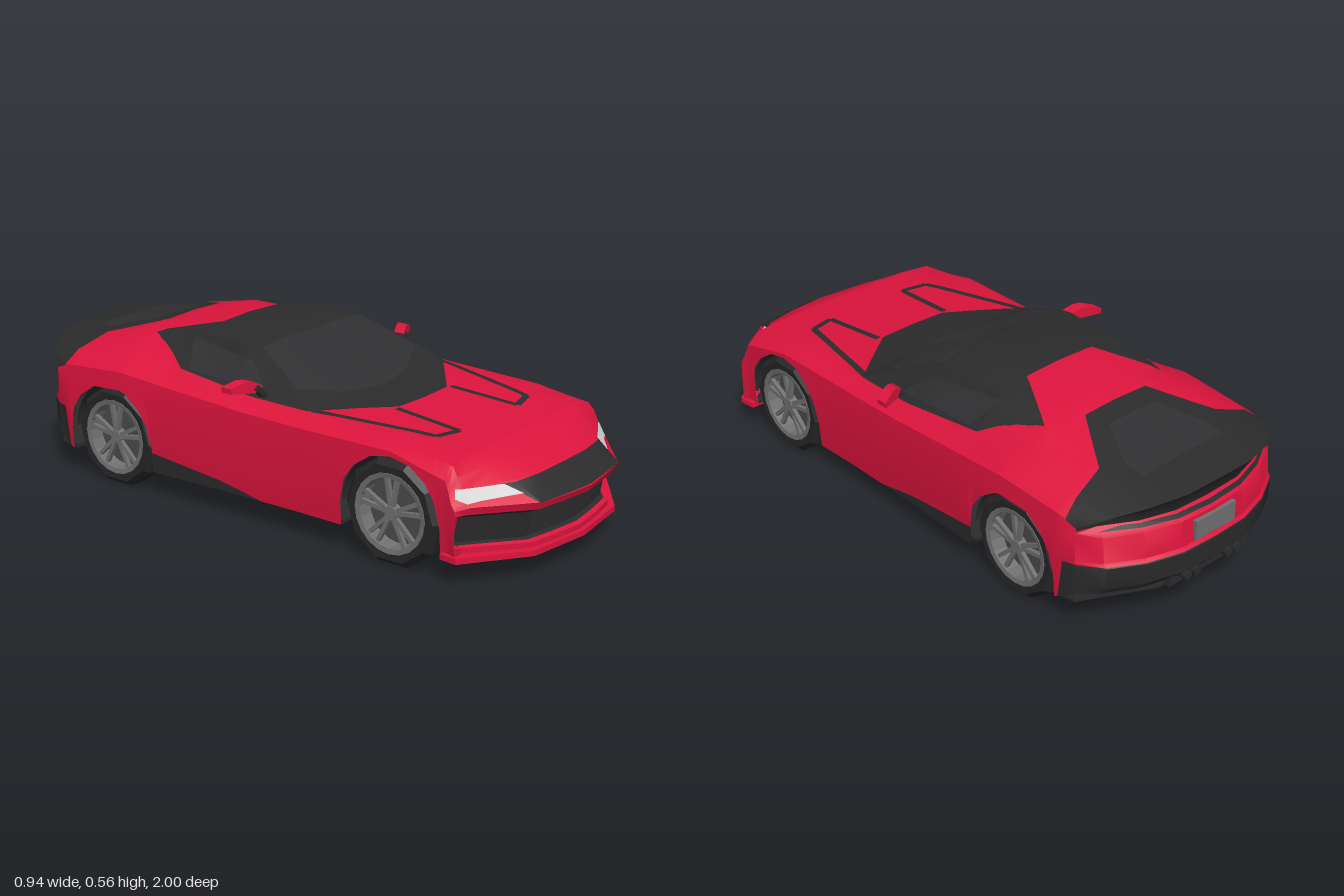
import * as THREE from 'three';
import { toCreasedNormals } from 'three/addons/utils/BufferGeometryUtils.js';

const mat = (name, color, side = THREE.FrontSide) => {
  const m = new THREE.MeshStandardMaterial({ color, side });
  m.name = name;
  return m;
};
const red = mat('red paint', 0xdc143c), black = mat('black trim', 0x2b2b2b, THREE.DoubleSide);
const glass = mat('dark glass', 0x303032), lamp = mat('lamp', 0xd2d2d2), tyreMat = mat('rubber', 0x262626);
const rim = mat('wheel grey', 0x707070), disc = mat('brake grey', 0x4a4a4a, THREE.DoubleSide);

const AXLES = [0.56, -0.57], AXLE_Y = 0.165, ARCH = 0.182;

// half sections, front to back: z, flank x, shoulder x y, belt x y, roof rail x y, centre y
const KEYS = [
  [1, .425, .425, .232, .385, .24, .22, .24, .238],
  [.9, .423, .422, .25, .39, .285, .24, .295, .298],
  [.83, .422, .42, .285, .385, .32, .26, .333, .337],
  [.76, .422, .418, .315, .38, .35, .27, .362, .365],
  [.56, .426, .415, .362, .37, .38, .25, .38, .377],
  [.22, .42, .412, .36, .36, .396, .31, .4, .405],
  [-.04, .424, .414, .365, .352, .41, .265, .522, .541],
  [-.1, .426, .415, .37, .35, .415, .265, .535, .556],
  [-.33, .434, .42, .385, .347, .432, .25, .53, .55],
  [-.52, .44, .427, .4, .362, .452, .23, .508, .528],
  [-.8, .436, .42, .38, .365, .42, .25, .45, .464],
  [-1, .415, .415, .36, .36, .405, .25, .426, .44],
];
const lerpTable = (t, x) => {
  let i = 1;
  while (i < t.length - 1 && x > t[i][0]) i++;
  const [a, b] = [t[i - 1], t[i]];
  return a[1] + (b[1] - a[1]) * (x - a[0]) / (b[0] - a[0]);
};
// plan curvature of nose and tail
const NOSE = [[0, 0], [.12, .015], [.22, .035], [.385, .171], [.425, .2]];
const TAIL = [[0, 0], [.13, .005], [.2, .012], [.36, .1], [.415, .175]];
function bend(x, s) {
  if (s > .76) return s - (s - .76) / .24 * lerpTable(NOSE, x);
  if (s < -.76) return s + (-.76 - s) / .24 * lerpTable(TAIL, x);
  return s;
}

function section(s) {
  let i = 1;
  while (i < KEYS.length - 1 && s < KEYS[i][0]) i++;
  const a = KEYS[i - 1], b = KEYS[i], t = (s - a[0]) / (b[0] - a[0]);
  const [, x1, x2, y2, x3, y3, x4, y4, yc] = a.map((n, k) => n + (b[k] - n) * t);
  const pts = [
    [x1 - .012 * Math.min(1, (1 - Math.abs(s)) * 5), .085 + Math.max(0, -.72 - s) * .16],
    [x1, y2 * .7], [x2, y2], [x3, y3], [x4, y4], [x4 * .53, yc - (yc - y4) * .25], [0, yc],
  ];
  // raise the lower edge over the wheels
  for (const c of AXLES) if (Math.abs(s - c) <= ARCH + 1e-6) {
    const side = pts.slice(0, 3).map(([x, y]) => [y, x]);
    const y0 = AXLE_Y + Math.sqrt(Math.max(0, ARCH ** 2 - (s - c) ** 2));
    const y1 = Math.max(pts[1][1], (y0 + y2) / 2);
    pts[0] = [lerpTable(side, y0), y0];
    pts[1] = [lerpTable(side, y1), y1];
  }
  return pts.map(([x, y]) => [x, y, bend(x, s)]);
}

// painted areas on the half body: material, convex outline, test on face centre
const X = 0, Y = 1, Z = 2, upper = c => c[Y] > .36, hood = c => c[Y] > .33, nose = c => c[Z] > .7;
const TOP_PAINT = [
  [black, [[0, .39], [.13, .385], [.358, .21], [.362, 0], [.347, -.325], [0, -.325]], upper],
  [black, [[.347, -.325], [.25, -.52], [.15, -.345], [.14, -.325]], upper],
  [black, [[0, -.57], [.13, -.57], [.25, -.75], [.25, -1.02], [0, -1.02]], upper],
  [black, [[.25, -.75], [.44, -.79], [.44, -1.02], [.25, -1.02]], upper],
  [glass, [[0, .235], [.17, .2], [.31, .13], [.25, -.065], [0, -.04]], upper],
  [glass, [[0, -.64], [.1, -.64], [.18, -.79], [.17, -.855], [0, -.855]], upper],
];
// hood vent lines as thin strips along a path
const VENT = [[.347, .2], [.25, .61], [.16, .632], [.146, .39]];
VENT.slice(1).forEach(([x, z], i) => {
  const [px, pz] = VENT[i], k = .011 / Math.hypot(x - px, z - pz), nx = (pz - z) * k, nz = (x - px) * k;
  TOP_PAINT.push([black, [[px + nx, pz + nz], [px - nx, pz - nz], [x - nx, z - nz], [x + nx, z + nz]], hood]);
});
const SIDE_PAINT = [
  [glass, [[.03, .418], [-.07, .495], [-.34, .515], [-.29, .435]], c => c[X] > .27 && upper(c)],
  [black, [[.3, .07], [-.1, .118], [-.28, .155], [-.41, .15], [-.41, .07]], c => c[X] > .35],
  [black, [[-.785, .235], [-1.05, .235], [-1.05, .05], [-.76, .05]], () => true],
];
const END_PAINT = [
  [black, [[0, .24], [.225, .24], [.265, .288], [0, .294]], nose],
  [lamp, [[.265, .287], [.4, .29], [.41, .264], [.39, .25], [.24, .263]], nose],
  [black, [[0, .216], [.385, .214], [.395, .113], [0, .113]], nose],
  [glass, [[0, .195], [.205, .195], [.205, .118], [0, .118]], nose],
  [black, [[0, .35], [.3, .355], [.37, .345], [0, .338]], c => c[Z] < -.75],
];
function split(p, f) {
  const ins = [], outs = [];
  p.forEach((a, i) => {
    const b = p[(i + 1) % p.length], fa = f(a), fb = f(b);
    (fa >= 0 ? ins : outs).push(a);
    if ((fa >= 0) !== (fb >= 0)) {
      const m = a.map((n, k) => n + (b[k] - n) * fa / (fa - fb));
      ins.push(m);
      outs.push(m);
    }
  });
  return [ins, outs];
}
function paint(faces, u, v, [m, poly, test]) {
  const ring = THREE.ShapeUtils.area(poly.map(q => new THREE.Vector2(...q))) > 0 ? poly : [...poly].reverse();
  return faces.flatMap(face => {
    const c = [X, Y, Z].map(k => face.p.reduce((s, q) => s + q[k], 0) / face.p.length);
    if (!test(c)) return [face];
    const pieces = [];
    let rest = face.p;
    for (let i = 0; i < ring.length; i++) {
      const a = ring[i], b = ring[(i + 1) % ring.length];
      const [ins, outs] = split(rest, q => (b[0] - a[0]) * (q[v] - a[1]) - (b[1] - a[1]) * (q[u] - a[0]));
      if (outs.length > 2) pieces.push({ p: outs, m: face.m });
      rest = ins;
      if (rest.length < 3) return [face];
    }
    return [...pieces, { p: rest, m }];
  });
}

function makeBody() {
  const zs = KEYS.map(k => k[0]);
  for (const c of AXLES) for (const d of [.07, .13, .165, ARCH, ARCH + 1e-4]) zs.push(c + d, c - d);
  const rows = zs.sort((a, b) => b - a).map(section);
  let faces = [];
  const grid = (g, flip) => {
    for (let i = 0; i + 1 < g.length; i++) for (let j = 0; j + 1 < g[i].length; j++) {
      const [a, b, c, d] = [g[i][j], g[i][j + 1], g[i + 1][j + 1], g[i + 1][j]];
      for (const p of [[a, b, c], [a, c, d]]) faces.push({ p: flip ? p.reverse() : p, m: red });
    }
  };
  // end faces step down and inwards from the last section
  const cap = (row, steps, dir) => {
    const top = row.slice(2);
    grid([top, ...steps.map(([y, inset], i) => top.map(p =>
      [p[0], Math.min(y, p[1] - .008 * (i + 1)), p[2] - (p[0] > .4 ? 0 : dir * inset)]))], dir < 0);
  };
  grid(rows, true);
  cap(rows[0], [[.216, .01], [.2, .045], [.118, .06], [.108, .03], [.075, .03]], 1);
  cap(rows[rows.length - 1], [[.39, .035], [.36, .045], [.33, .02], [.245, .012], [.232, 0], [.16, .005], [.13, .03]], -1);
  for (const area of TOP_PAINT) faces = paint(faces, X, Z, area);
  for (const area of SIDE_PAINT) faces = paint(faces, Z, Y, area);
  for (const area of END_PAINT) faces = paint(faces, X, Y, area);

  const mats = [red, black, glass, lamp], pos = [], geo = new THREE.BufferGeometry();
  mats.forEach((m, k) => {
    const start = pos.length / 3;
    for (const { p } of faces.filter(f => f.m === m)) for (let i = 1; i + 1 < p.length; i++) {
      const [a, b, c] = [p[0], p[i], p[i + 1]], tri = new THREE.Triangle(...[a, b, c].map(q => new THREE.Vector3(...q)));
      if (tri.getArea() < 1e-8) continue;
      pos.push(...a, ...b, ...c);
      for (const q of [a, c, b]) pos.push(-q[0], q[1], q[2]);
    }
    geo.addGroup(start, pos.length / 3 - start, k);
  });
  geo.setAttribute('position', new THREE.Float32BufferAttribute(pos, 3));
  return new THREE.Mesh(toCreasedNormals(geo, .6), mats);
}

function add(parent, name, geo, m, x = 0, y = 0, z = 0) {
  const mesh = geo.isMesh ? geo : new THREE.Mesh(geo, m);
  mesh.name = name;
  mesh.position.set(x, y, z);
  parent.add(mesh);
  return mesh;
}
// flat plate from a half outline (x, z), mirrored
function plate(half, h) {
  const all = [...half, ...half.filter(p => p[0] > 0).reverse().map(([x, z]) => [-x, z])];
  const shape = new THREE.Shape(all.map(([x, z]) => new THREE.Vector2(x, -z)));
  return new THREE.ExtrudeGeometry(shape, { depth: h, bevelEnabled: false }).rotateX(-Math.PI / 2);
}
// turned wheel part with the axle along x and the outer face at +x
const lathe = (pts, n) => toCreasedNormals(new THREE.LatheGeometry(pts.map(p => new THREE.Vector2(...p)), n).rotateZ(-Math.PI / 2), .3);

export function createModel() {
  const model = new THREE.Group();
  add(model, 'body', makeBody());

  const floor = plate([[0, .93], [.2, .9], [.39, .77], [.405, .742], [.29, .742], [.29, .378], [.405, .378], [.405, -.388],
    [.29, -.388], [.29, -.752], [.41, -.752], [.41, -.82], [.2, -.96], [0, -.965]], .012);
  const fp = floor.attributes.position;
  for (let i = 0; i < fp.count; i++) fp.setY(i, fp.getY(i) + Math.max(0, -.752 - fp.getZ(i)) * .17);
  floor.computeVertexNormals();
  add(model, 'floor', floor, black, 0, .086, 0);
  add(model, 'frontSplitter', plate([[0, .985], [.23, .955], [.43, .81], [.425, .75], [.38, .75], [.2, .88], [0, .9]], .018), red, 0, .073, 0);

  // tail details
  add(model, 'numberPlate', new THREE.BoxGeometry(.17, .065, .015), rim, 0, .285, -.985);
  add(model, 'diffuser', new THREE.BoxGeometry(.34, .035, .07), black, 0, .135, -.94);

  const tyre = lathe([[.115, -.05], [.155, -.0525], [.173, -.033], [.173, .033], [.155, .0525], [.126, .05], [.12, .03]], 10);
  const ring = lathe([[.128, .03], [.128, .053], [.112, .05], [.106, -.01]], 20);
  const drum = new THREE.CylinderGeometry(.12, .12, .05, 20).rotateZ(Math.PI / 2);
  const innerRim = new THREE.CylinderGeometry(.115, .115, .008, 20).rotateZ(Math.PI / 2);
  const hub = new THREE.CylinderGeometry(.022, .028, .025, 10).rotateZ(-Math.PI / 2);
  const spoke = new THREE.BoxGeometry(.014, .1, .013).translate(0, .064, 0);
  const liner = new THREE.CylinderGeometry(ARCH, ARCH, .125, 16, 1, true, 0, Math.PI).rotateZ(Math.PI / 2);
  const wall = new THREE.CircleGeometry(ARCH, 16, 0, Math.PI).rotateY(Math.PI / 2);

  for (const side of [1, -1]) {
    AXLES.forEach((z, k) => {
      const wheel = new THREE.Group();
      wheel.name = k ? 'rearWheel' : 'frontWheel';
      wheel.position.set(side * .3625, AXLE_Y, z);
      if (side < 0) wheel.rotation.y = Math.PI;
      add(wheel, 'tyre', tyre, tyreMat);
      add(wheel, 'rimRing', ring, rim);
      add(wheel, 'brakeDrum', drum, disc, -.022);
      add(wheel, 'innerRim', innerRim, rim, -.048);
      add(wheel, 'hub', hub, rim, .035);
      for (let i = 0; i < 10; i++)
        add(wheel, 'spoke', spoke, rim, .038).rotation.x = Math.floor(i / 2) * Math.PI * .4 + (i % 2 ? .17 : -.17);
      model.add(wheel);
      add(model, 'archLiner', liner, black, side * .345, AXLE_Y, z);
      add(model, 'archWall', wall, black, side * .286, AXLE_Y, z);
    });

    // door mirror swept backwards, on a short stalk
    const outline = [[.37, .452], [.4, .468], [.425, .47], [.47, .455], [.468, .437], [.395, .43]];
    const shape = new THREE.Shape(outline.map(([x, y]) => new THREE.Vector2(side * x, y)));
    const housing = new THREE.ExtrudeGeometry(shape, { depth: .04, bevelEnabled: false });
    const hp = housing.attributes.position;
    for (let i = 0; i < hp.count; i++) hp.setZ(i, hp.getZ(i) - (Math.abs(hp.getX(i)) - .37) * .45);
    housing.computeVertexNormals();
    add(model, 'mirrorHousing', housing, red);
    add(model, 'mirrorStalk', new THREE.BoxGeometry(.075, .018, .025), black, side * .365, .425, .025).rotation.z = side * .7;

    // paired exhaust tips
    for (const x of [.07, .11])
      add(model, 'exhaustTip', new THREE.CylinderGeometry(.016, .016, .06, 10).rotateX(Math.PI / 2), black, side * x, .14, -.965);
  }
  return model;
}
